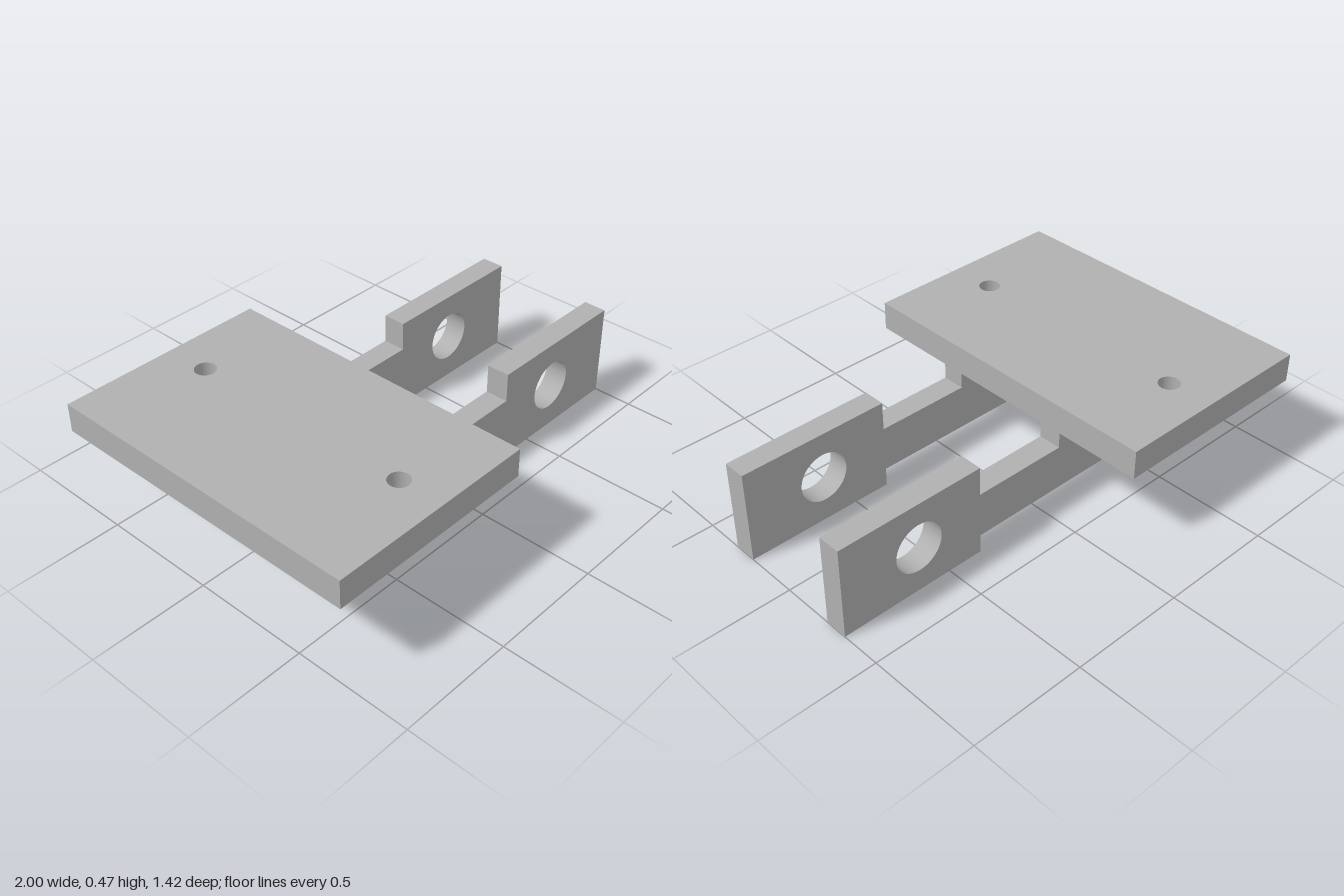
import * as THREE from 'three';

// Closed outline with round holes given as [x, y, radius], extruded along +z
function plateGeometry(points, holes, depth) {
  const shape = new THREE.Shape(points.map(([x, y]) => new THREE.Vector2(x, y)));
  for (const [x, y, r] of holes) {
    shape.holes.push(new THREE.Path().absarc(x, y, r, 0, Math.PI * 2, true));
  }
  return new THREE.ExtrudeGeometry(shape, { depth, bevelEnabled: false, curveSegments: 48 });
}

export function createModel() {
  const group = new THREE.Group();
  const grey = new THREE.MeshStandardMaterial({ color: 0xb0b0b0 });
  grey.name = 'grey metal';

  const plateEnd = -0.075, plateBottom = 0.347, plateTop = 0.471, halfWidth = 0.708;

  // Mounting plate with two screw holes, laid flat
  const plate = new THREE.Mesh(plateGeometry(
    [[-1, -halfWidth], [plateEnd, -halfWidth], [plateEnd, halfWidth], [-1, halfWidth]],
    [[-0.496, 0.506, 0.045], [-0.496, -0.506, 0.045]],
    plateTop - plateBottom), grey);
  plate.name = 'mountingPlate';
  plate.rotation.x = -Math.PI / 2;
  plate.position.y = plateBottom;
  group.add(plate);

  // Two parallel arms, each ending in a wide lug with a pivot hole
  const armThickness = 0.1;
  const armGeometry = plateGeometry([
    [-0.647, 0.08], [0.342, 0.08], [0.342, 0], [1, 0], [1, 0.405],
    [0.342, 0.405], [0.342, 0.279], [plateEnd, 0.279],
    [plateEnd, plateBottom], [-0.647, plateBottom],
  ], [[0.643, 0.203, 0.108]], armThickness);
  for (const [name, z] of [['leftArm', -0.278], ['rightArm', 0.278]]) {
    const arm = new THREE.Mesh(armGeometry, grey);
    arm.name = name === 'leftArm' ? 'backArm' : 'frontArm';
    arm.position.z = z - armThickness / 2;
    group.add(arm);
  }
  return group;
}
